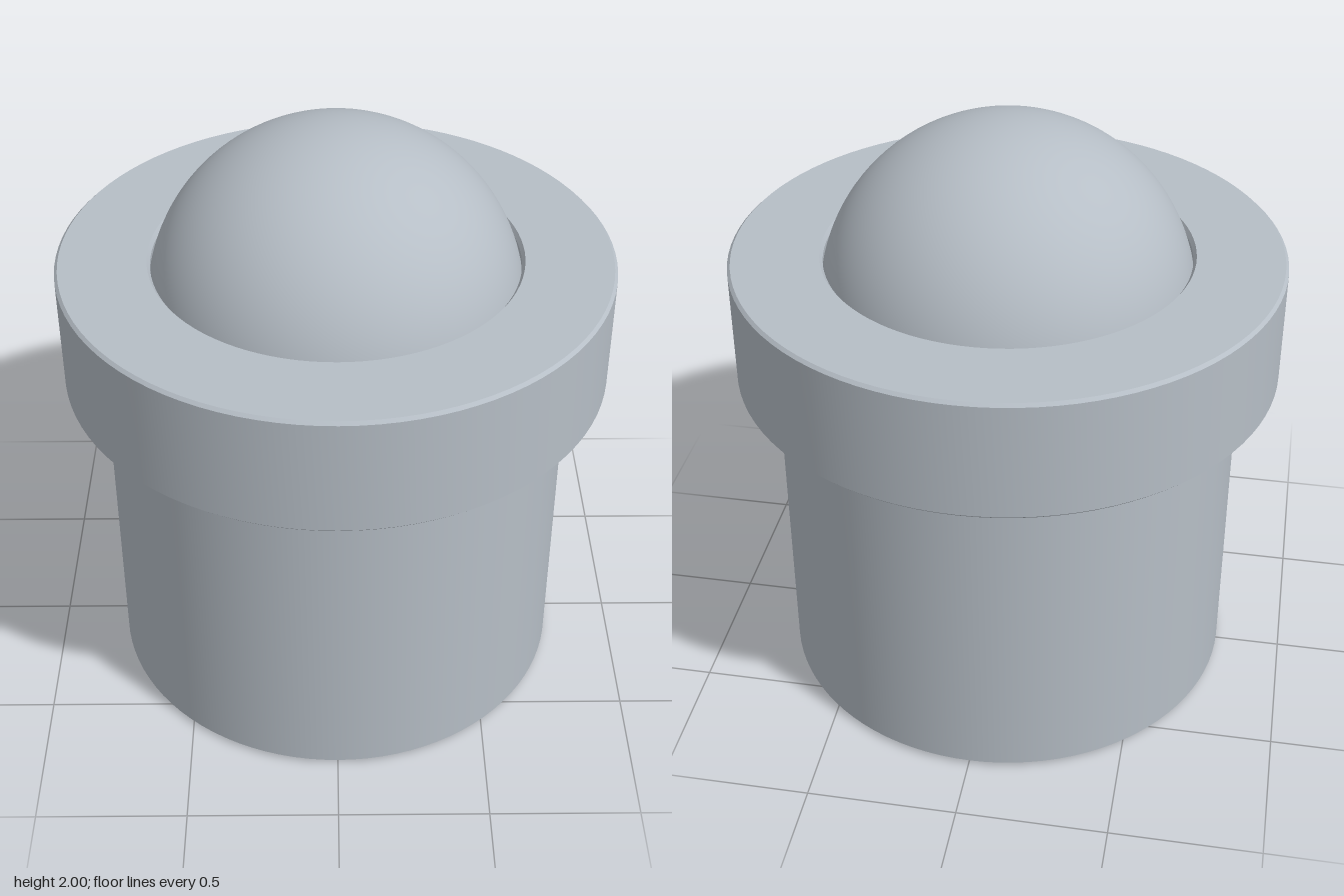
import * as THREE from 'three';
import { toCreasedNormals } from 'three/addons/utils/BufferGeometryUtils.js';

const SEGMENTS = 96;

// Turned part from an [radius, height] profile, with crisp chamfer edges
function turned(name, profile, material) {
  const points = profile.map(([r, y]) => new THREE.Vector2(r, y));
  const geometry = toCreasedNormals(new THREE.LatheGeometry(points, SEGMENTS), 0.5);
  const mesh = new THREE.Mesh(geometry, material);
  mesh.name = name;
  return mesh;
}

export function createModel() {
  const model = new THREE.Group();
  model.name = 'ballTransferUnit';

  const steel = new THREE.MeshStandardMaterial({ color: 0xb6bec6 });
  steel.name = 'steel';
  const darkSteel = new THREE.MeshStandardMaterial({ color: 0x90969d });
  darkSteel.name = 'dark steel';

  // Cylindrical housing with a chamfered bore at its base
  const body = turned('body', [
    [0.655, 0.03], [0.655, 0.012], [0.667, 0], [0.762, 0], [0.775, 0.013],
    [0.775, 1.137], [0.762, 1.15], [0.6, 1.15],
  ], steel);

  // Wide collar with a chamfered opening around the ball
  const collar = turned('collar', [
    [0.6, 1.15], [0.895, 1.15], [0.905, 1.16], [0.905, 1.55],
    [0.895, 1.56], [0.61, 1.56], [0.6, 1.545], [0.6, 1.15],
  ], steel);

  // Plug set just inside the base
  const plug = turned('basePlug', [[0, 0.008], [0.655, 0.008], [0.655, 0.03], [0, 0.03]], darkSteel);

  // Ball held in the collar
  const ball = new THREE.Mesh(new THREE.SphereGeometry(0.616, SEGMENTS, 64), steel);
  ball.name = 'ball';
  ball.position.y = 1.384;

  model.add(body, collar, plug, ball);
  return model;
}
